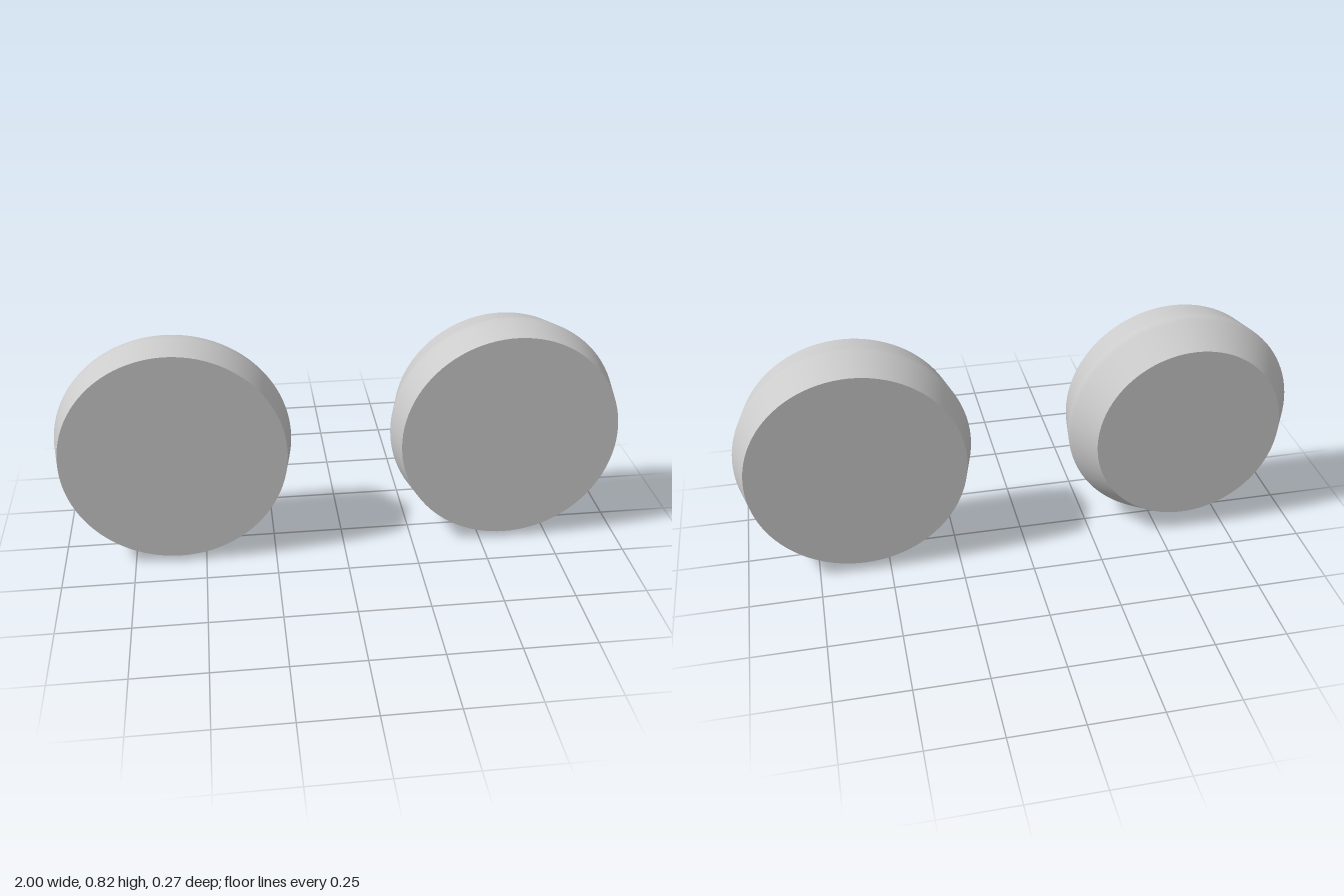
import * as THREE from 'three';

const SEGMENTS = 96;
const RADIUS = 0.411;
const material = new THREE.MeshStandardMaterial({ color: 0xcccccc });

// A disc facing +z: two tapered bands meeting at a softened ridge, with flat caps
function createDisc(name, x, { front, frontRadius, back, backRadius, ridge }) {
  const disc = new THREE.Group();
  disc.name = name;
  disc.position.set(x, RADIUS, 0);

  const add = (part, geometry) => {
    const mesh = new THREE.Mesh(geometry, material);
    mesh.name = part;
    disc.add(mesh);
    return mesh;
  };

  // Rim profile from back to front; close points keep the ridge blend narrow
  const backEdge = new THREE.Vector2(backRadius, back);
  const peak = new THREE.Vector2(RADIUS, ridge);
  const frontEdge = new THREE.Vector2(frontRadius, front);
  const profile = [
    backEdge,
    backEdge.clone().lerp(peak, 0.85),
    peak,
    peak.clone().lerp(frontEdge, 0.15),
    frontEdge,
  ];
  add('rim', new THREE.LatheGeometry(profile, SEGMENTS).rotateX(Math.PI / 2));

  // Flat caps
  add('frontFace', new THREE.CircleGeometry(frontRadius, SEGMENTS)).position.z = front;
  const backFace = add('backFace', new THREE.CircleGeometry(backRadius, SEGMENTS));
  backFace.position.z = back;
  backFace.rotation.y = Math.PI;
  return disc;
}

export function createModel() {
  const model = new THREE.Group();
  model.name = 'discPair';
  model.add(
    createDisc('rightDisc', -0.589, {
      front: 0.134, frontRadius: 0.389, back: -0.125, backRadius: 0.337, ridge: 0.004,
    }),
    createDisc('leftDisc', 0.589, {
      front: 0.117, frontRadius: 0.388, back: -0.134, backRadius: 0.377, ridge: -0.005,
    }),
  );
  return model;
}
